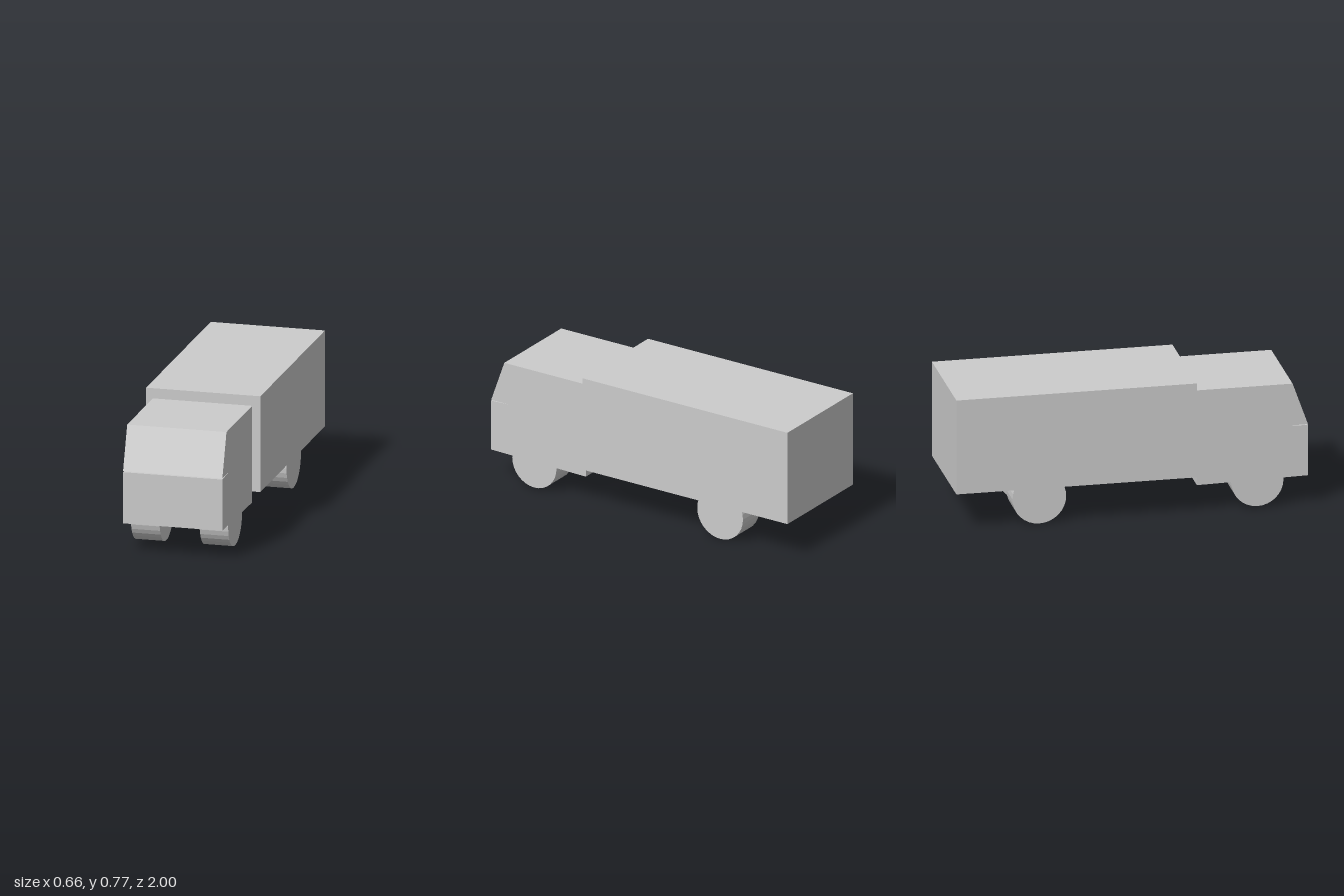
import * as THREE from 'three';

const grey = new THREE.MeshStandardMaterial({ color: 0xcccccc, flatShading: true });

function addMesh(parent, name, geometry, x, y, z) {
  const mesh = new THREE.Mesh(geometry, grey);
  mesh.name = name;
  mesh.position.set(x, y, z);
  parent.add(mesh);
  return mesh;
}

export function createModel() {
  const truck = new THREE.Group();
  truck.name = 'boxTruck';

  // Cab: side profile as (z, y), with a sloped windscreen and a hairline seam below it
  const profile = [
    [0.37, 0.165], [1.0, 0.177], [1.0, 0.472], [0.88, 0.477],
    [0.999, 0.478], [0.912, 0.722], [0.37, 0.722],
  ].map(([z, y]) => new THREE.Vector2(-z, y));
  const cabWidth = 0.57;
  const cabGeometry = new THREE.ExtrudeGeometry(new THREE.Shape(profile), {
    depth: cabWidth, bevelEnabled: false,
  });
  cabGeometry.translate(0, 0, -cabWidth / 2).rotateY(Math.PI / 2);
  addMesh(truck, 'cab', cabGeometry, -0.002, 0, 0);

  // Cargo box
  addMesh(truck, 'cargoBox', new THREE.BoxGeometry(0.656, 0.552, 1.362), 0, 0.502, -0.319);

  // Wheels: wide cylinders sunk into the underside
  const axles = [
    { name: 'front', z: 0.715, y: 0.161, radius: 0.147 },
    { name: 'rear', z: -0.52, y: 0.155, radius: 0.152 },
  ];
  for (const { name, z, y, radius } of axles) {
    const wheel = new THREE.CylinderGeometry(radius, radius, 0.164, 32).rotateZ(Math.PI / 2);
    for (const side of [1, -1]) {
      addMesh(truck, `${name}${side > 0 ? 'Left' : 'Right'}Wheel`, wheel, side * 0.197, y, z);
    }
  }
  return truck;
}
